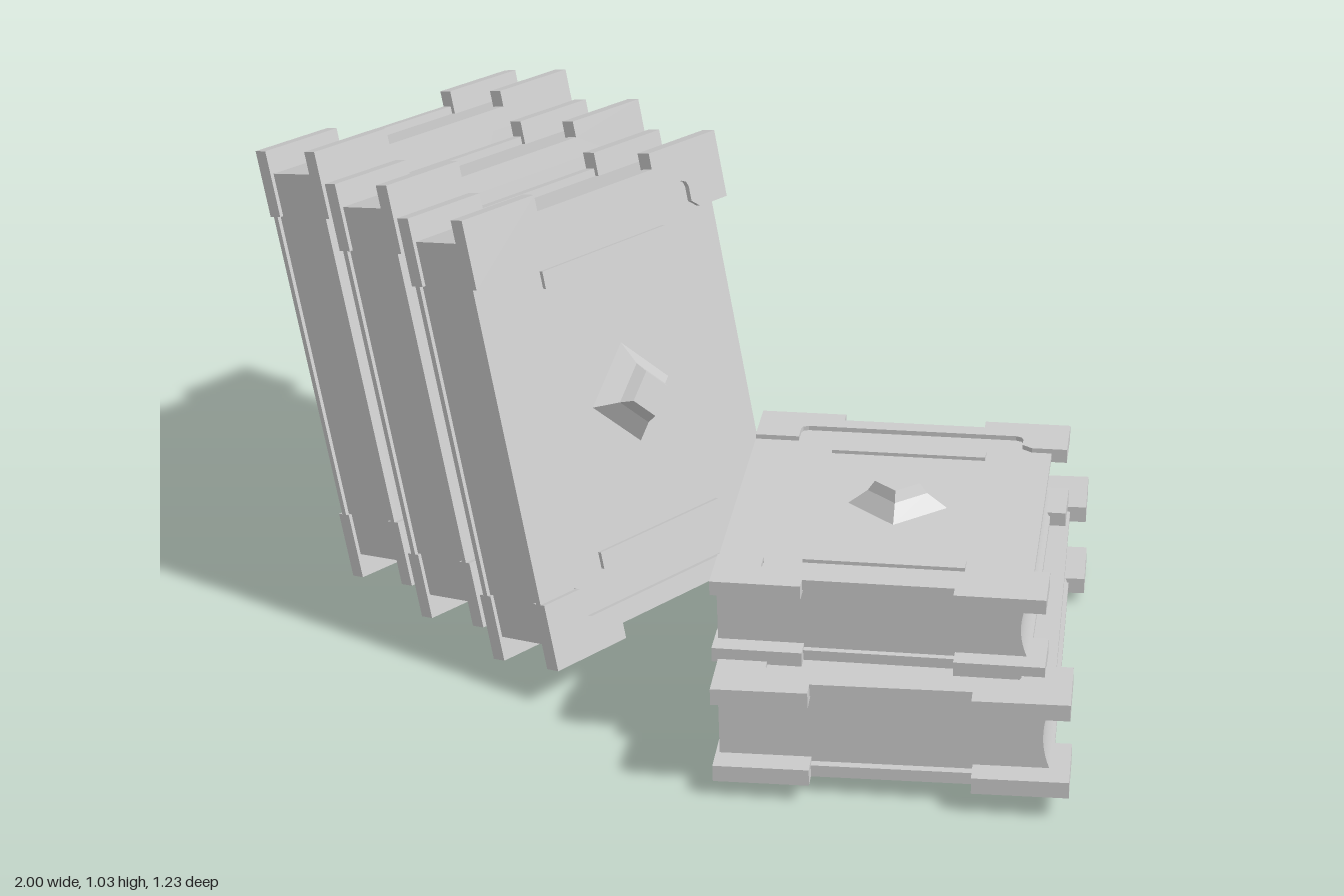
import * as THREE from 'three';
import { toCreasedNormals } from 'three/addons/utils/BufferGeometryUtils.js';

const grey = new THREE.MeshStandardMaterial({ color: 0xcccccc });
grey.name = 'plain grey';

// Book frame: x = thickness (front cover at +x), y = height, spine at +z.
const T = 0.215, H = 0.98, W = 0.715;
const hx = T / 2, hy = H / 2, hw = W / 2;
const LIP = 0.035;                    // how far corner guards stick out
const CW = 0.195, CH = 0.147;         // corner guard size
// depths below the outer face: long borders, panel, inside of plate, inside of guards
const BORDER = 0.012, PANEL = 0.018, COVER = 0.026, GUARD = 0.036;

// Mirrors an upper half outline to the lower half.
function mirrored(points) {
  const all = [...points, ...points.slice().reverse().map(([w, y]) => [w, -y])];
  return all.map(([w, y]) => new THREE.Vector2(w, y));
}

const outline = mirrored([
  [-hw, hy], [-hw + CW, hy], [-hw + CW, hy - LIP], [hw - CW, hy - LIP],
  [hw - CW, hy], [hw, hy], [hw, hy - CH], [hw - LIP, hy - CH],
]);

const panel = mirrored([
  [-hw + 0.045, hy - CH], [-hw + 0.1, hy - CH], [-hw + 0.1, hy - 0.098],
  [-hw + 0.104, hy - 0.086], [-hw + 0.116, hy - 0.08], [hw - 0.12, hy - 0.08],
  [hw - 0.107, hy - 0.086], [hw - 0.102, hy - 0.098],
  [hw - 0.102, hy - 0.13], [hw - 0.08, hy - CH],
]);

// Guard band across the upper end: both corners and the short border.
const endBand = [
  [-hw, hy], [-hw + CW, hy], [-hw + CW, hy - LIP], [hw - CW, hy - LIP],
  [hw - CW, hy], [hw, hy], [hw, hy - CH], [hw - 0.08, hy - CH],
  [hw - 0.102, hy - 0.13], [hw - 0.102, hy - 0.098], [hw - 0.107, hy - 0.086],
  [hw - 0.12, hy - 0.08], [-hw + 0.116, hy - 0.08], [-hw + 0.104, hy - 0.086],
  [-hw + 0.1, hy - 0.098], [-hw + 0.1, hy - CH], [-hw, hy - CH],
];
const bands = [1, -1].map((s) => endBand.map(([w, y]) => new THREE.Vector2(w, s * y)));

// Extrudes a (w, y) shape along x, from x0 to x1.
function slab(points, hole, x0, x1) {
  const shape = new THREE.Shape(points);
  if (hole) shape.holes.push(new THREE.Path(hole));
  const g = new THREE.ExtrudeGeometry(shape, { depth: x1 - x0, bevelEnabled: false });
  return g.rotateY(Math.PI / 2).translate(x0, 0, 0);
}

function add(group, geometry, name) {
  const mesh = new THREE.Mesh(geometry, grey);
  mesh.name = name;
  group.add(mesh);
  return mesh;
}

// One cover: plate, low frame, raised end bands and thicker corner guards.
function addCover(book, side, name) {
  const cover = new THREE.Group();
  cover.name = name;
  const range = (a, b) => (side > 0 ? [hx - b, hx - a] : [-hx + a, -hx + b]);
  add(cover, slab(outline, null, ...range(PANEL, COVER)), 'coverPlate');
  add(cover, slab(outline, panel, ...range(BORDER, PANEL)), 'coverFrame');
  for (const band of bands) add(cover, slab(band, null, ...range(0, BORDER)), 'endBand');
  const [x0, x1] = range(COVER, GUARD);
  for (const sy of [1, -1]) for (const sz of [1, -1]) {
    const g = new THREE.BoxGeometry(x1 - x0, CH, CW);
    g.translate((x0 + x1) / 2, sy * (hy - CH / 2), sz * (hw - CW / 2));
    add(cover, g, 'cornerGuard');
  }
  book.add(cover);
}

// Page block with flat spine and hollow fore edge.
function pageBlock() {
  const t = hx - COVER + 0.002, fore = hw - 0.037, spine = -hw + 0.008, height = 0.876;
  const s = new THREE.Shape();
  s.moveTo(-t, spine);
  s.lineTo(t, spine);
  s.lineTo(t, fore);
  s.quadraticCurveTo(0, fore - 0.036, -t, fore);
  s.closePath();
  const g = new THREE.ExtrudeGeometry(s, { depth: height, bevelEnabled: false, curveSegments: 12 });
  g.rotateX(-Math.PI / 2).translate(0, -height / 2, 0);
  return toCreasedNormals(g, 0.5);
}

// Four-sided frustum standing out along +x.
function facet(rBottom, rTop, height, x) {
  const g = new THREE.CylinderGeometry(rTop, rBottom, height, 4, 1).toNonIndexed();
  g.rotateZ(-Math.PI / 2).translate(x + height / 2, 0.01, 0);
  g.computeVertexNormals();
  return g;
}

function makeBook(name) {
  const book = new THREE.Group();
  book.name = name;
  addCover(book, 1, 'frontCover');
  addCover(book, -1, 'backCover');
  add(book, pageBlock(), 'pages');
  // cover ornaments
  const face = hx - PANEL;
  for (const s of [1, -1]) {
    const bar = add(book, new THREE.BoxGeometry(0.012, 0.037, 0.35), 'coverBar');
    bar.position.set(face + 0.003, s * (hy - 0.18), 0);
  }
  add(book, facet(0.11, 0.066, 0.038, face), 'gemSetting');
  add(book, facet(0.066, 0.05, 0.026, face + 0.038), 'gem');
  return book;
}

// Orients a book by the directions its front cover and spine face.
function place(book, position, front, spine, scale = [1, 1, 1]) {
  const x = new THREE.Vector3(...front).normalize();
  const y = new THREE.Vector3(...spine).cross(x).normalize();
  const z = x.clone().cross(y);
  book.quaternion.setFromRotationMatrix(new THREE.Matrix4().makeBasis(x, y, z));
  book.position.set(...position);
  book.scale.set(...scale);
  return book;
}

export function createModel() {
  const model = new THREE.Group();
  model.name = 'books';
  // three leaning books
  for (let i = 0; i < 3; i++) {
    model.add(place(makeBook('leaningBook' + (i + 1)),
      [-0.753 + i * 0.2415, 0.518, 0.237], [0.958, 0.283, -0.02], [0.025, 0.034, 1]));
  }
  // two stacked books
  model.add(place(makeBook('lowerBook'), [0.41, 0.135, -0.009],
    [-0.042, 1, -0.012], [-0.786, 0, 0.618]));
  model.add(place(makeBook('upperBook'), [0.39, 0.338, 0.015],
    [-0.022, 1, 0.008], [-0.8, 0, 0.6], [0.87, 0.75, 0.94]));
  return model;
}
